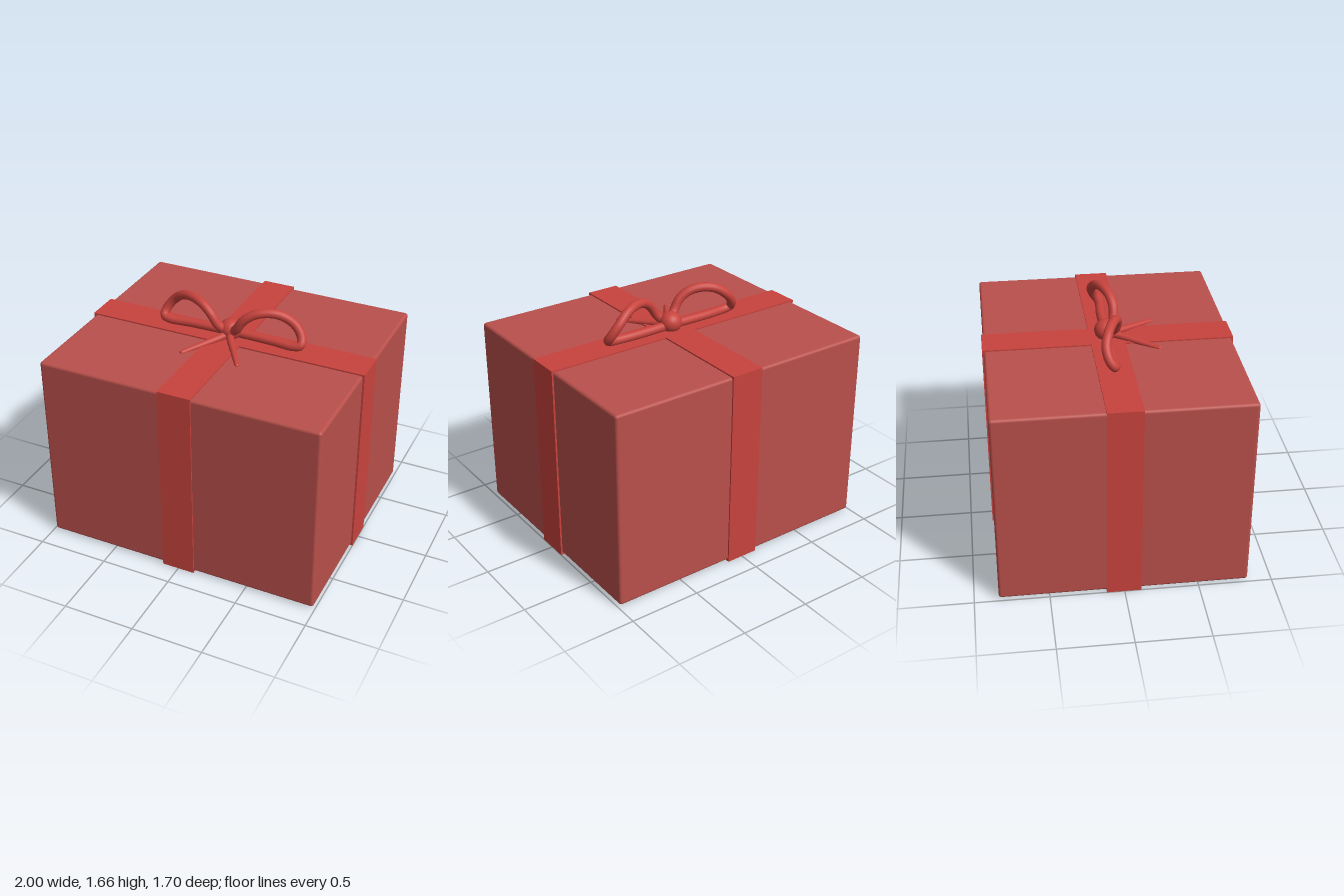
import * as THREE from 'three';
import { RoundedBoxGeometry } from 'three/addons/geometries/RoundedBoxGeometry.js';

const paper = new THREE.MeshStandardMaterial({ color: 0xb9504b });
const ribbon = new THREE.MeshStandardMaterial({ color: 0xc8433d });

function add(parent, name, geometry, material) {
  const mesh = new THREE.Mesh(geometry, material);
  mesh.name = name;
  parent.add(mesh);
  return mesh;
}

// Tube along a smooth curve whose radius shrinks evenly from r0 to r1
function taperedTube(points, r0, r1, segments, sides) {
  const curve = new THREE.CatmullRomCurve3(points);
  const geo = new THREE.TubeGeometry(curve, segments, r0, sides);
  const pos = geo.attributes.position;
  const v = new THREE.Vector3();
  for (let i = 0; i < pos.count; i++) {
    const t = Math.floor(i / (sides + 1)) / segments;
    const centre = curve.getPointAt(t);
    v.fromBufferAttribute(pos, i).sub(centre).multiplyScalar(1 + (r1 / r0 - 1) * t).add(centre);
    pos.setXYZ(i, v.x, v.y, v.z);
  }
  return geo;
}

export function createModel() {
  const gift = new THREE.Group();
  gift.name = 'giftBox';

  // Wrapped box with softly rounded edges
  add(gift, 'box', new RoundedBoxGeometry(1.975, 1.38, 1.675, 4, 0.02), paper).position.y = 0.7;

  // Two ribbon bands crossing on the top and bottom
  add(gift, 'ribbonAcross', new THREE.BoxGeometry(2, 1.4, 0.232), ribbon).position.set(0, 0.7, -0.003);
  add(gift, 'ribbonFrontToBack', new THREE.BoxGeometry(0.232, 1.4, 1.695), ribbon).position.set(0, 0.7, 0);

  // Bow
  const bow = new THREE.Group();
  bow.name = 'bow';
  gift.add(bow);
  const knot = add(bow, 'knot', new THREE.SphereGeometry(0.078, 32, 24), ribbon);
  knot.position.set(0, 1.446, -0.008);
  knot.scale.set(1, 0.95, 1);

  for (const [side, s] of [['left', 1], ['right', -1]]) {
    const path = (list) => list.map(([x, y, z]) => new THREE.Vector3(s * x, y, z));

    // Loop: rises in front, arches over and returns low along the top
    const loop = new THREE.CatmullRomCurve3(path([
      [0.02, 1.44, 0.02], [0.07, 1.49, 0.05], [0.12, 1.565, 0.055], [0.19, 1.615, 0.035],
      [0.28, 1.631, 0], [0.37, 1.61, -0.035], [0.45, 1.55, -0.057], [0.5, 1.48, -0.04],
      [0.505, 1.438, -0.01], [0.46, 1.424, 0], [0.3, 1.424, -0.01], [0.02, 1.428, -0.012],
    ]));
    add(bow, side + 'Loop', new THREE.TubeGeometry(loop, 96, 0.032, 16), ribbon);

    // Tapered tail running forward onto the lid
    const tail = path([[0.005, 1.425, 0.02], [0.04, 1.415, 0.085], [0.115, 1.403, 0.2], [0.2, 1.39, 0.33]]);
    add(bow, side + 'Tail', taperedTube(tail, 0.028, 0.016, 24, 14), ribbon);
    const tip = add(bow, side + 'TailTip', new THREE.SphereGeometry(0.016, 14, 10), ribbon);
    tip.position.copy(tail[3]);
  }
  return gift;
}
